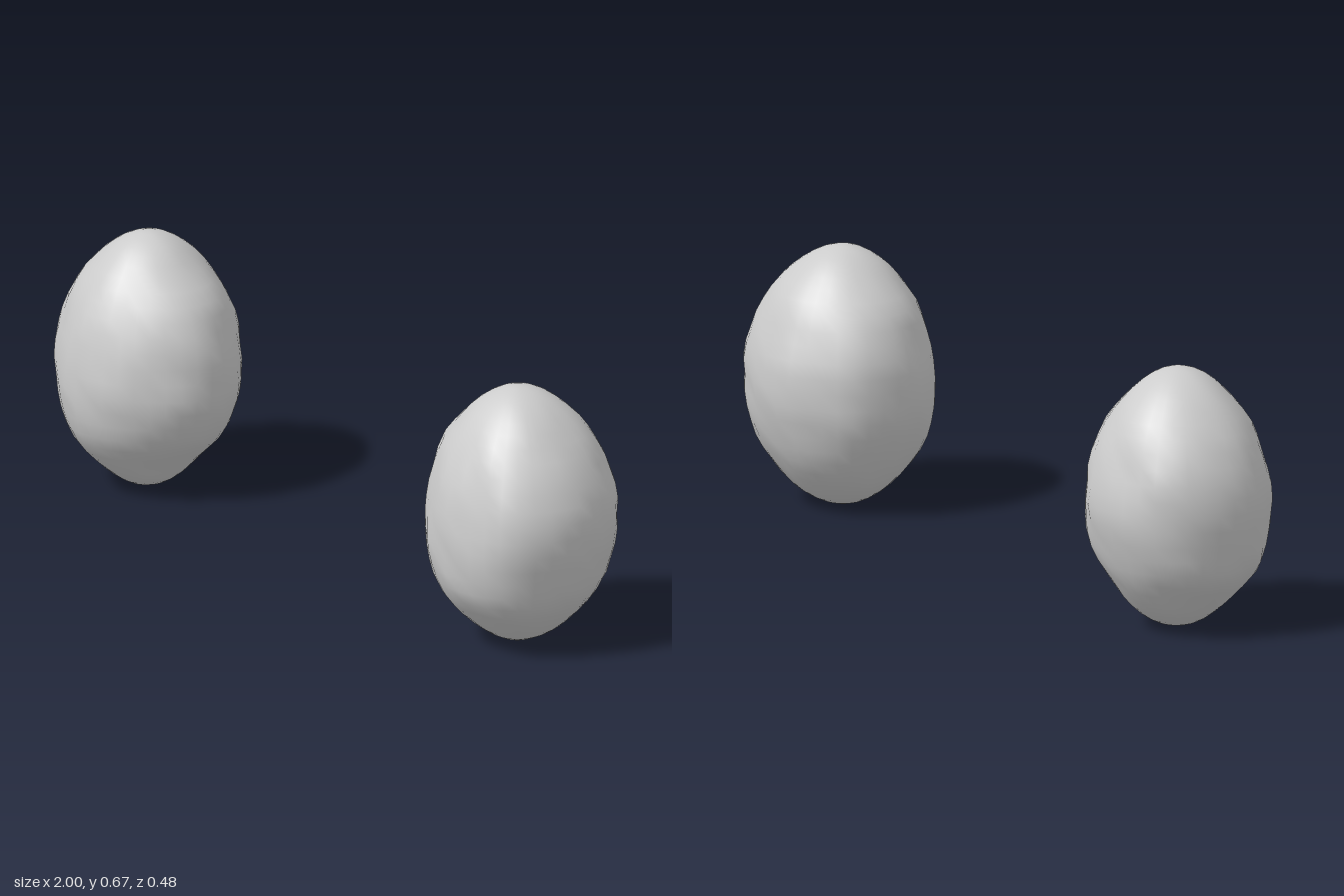
import * as THREE from 'three';
import { mergeVertices } from 'three/addons/utils/BufferGeometryUtils.js';

const HALF_HEIGHT = 0.3335;
const RADIUS_X = 0.255;
const RADIUS_Z = 0.237;
const lerp = THREE.MathUtils.lerp;

// Heights at which the bulge of each side is given
const LEVELS = [0, 0.07, 0.155, 0.27, 0.4, 0.52, 0.61, 0.667];
const FRONT = [0.9, 0.95, 1.05, 1.02, 0.96, 0.92, 0.87, 0.85];
const BACK = [0.9, 0.95, 1.0, 1.02, 1.02, 0.97, 0.94, 0.9];

// Each side is a width factor per level; corners are factors for the diagonal directions
const ROCKS = [
  {
    name: 'rightRock', x: -0.745, seed: 3,
    plusX: [0.7, 0.72, 0.95, 1.02, 1.0, 0.97, 0.8, 0.75],
    minusX: [0.75, 0.83, 1.0, 0.98, 1.01, 0.99, 0.91, 0.85],
    corners: { frontPlus: 0.95, frontMinus: 0.98, backPlus: 0.95, backMinus: 1.02 },
  },
  {
    name: 'leftRock', x: 0.74, seed: 11,
    plusX: [0.85, 0.9, 0.98, 1.0, 1.03, 0.98, 0.9, 0.85],
    minusX: [0.85, 0.88, 0.92, 0.98, 0.99, 0.95, 0.86, 0.8],
    corners: { frontPlus: 1.06, frontMinus: 0.99, backPlus: 1.03, backMinus: 1.0 },
  },
];

function widthAt(table, y) {
  let i = 0;
  while (i < LEVELS.length - 2 && y > LEVELS[i + 1]) i++;
  const t = THREE.MathUtils.clamp((y - LEVELS[i]) / (LEVELS[i + 1] - LEVELS[i]), 0, 1);
  return lerp(table[i], table[i + 1], t);
}

// Smooth seeded value noise in the range -1..1
function hash(x, y, z, seed) {
  const s = Math.sin(x * 127.1 + y * 311.7 + z * 74.7 + seed * 53.3) * 43758.5453;
  return (s - Math.floor(s)) * 2 - 1;
}

function noise(x, y, z, seed) {
  const ix = Math.floor(x), iy = Math.floor(y), iz = Math.floor(z);
  const ease = (t) => t * t * (3 - 2 * t);
  const fx = ease(x - ix), fy = ease(y - iy), fz = ease(z - iz);
  const row = (j, k) => lerp(hash(ix, iy + j, iz + k, seed), hash(ix + 1, iy + j, iz + k, seed), fx);
  return lerp(lerp(row(0, 0), row(1, 0), fy), lerp(row(0, 1), row(1, 1), fy), fz);
}

function createRock({ name, x: centreX, seed, plusX, minusX, corners }) {
  let geometry = new THREE.SphereGeometry(1, 36, 26);
  geometry.deleteAttribute('uv');
  geometry.deleteAttribute('normal');
  geometry = mergeVertices(geometry, 1e-4);

  const position = geometry.attributes.position;
  const p = new THREE.Vector3();
  for (let i = 0; i < position.count; i++) {
    p.fromBufferAttribute(position, i);
    const y = HALF_HEIGHT * (1 + p.y);
    const ring = Math.hypot(p.x, p.z) || 1;
    const cx = p.x / ring, cz = p.z / ring;

    // Blend the side profiles around the ring, then fill or trim the corners
    const side = widthAt(cx > 0 ? plusX : minusX, y);
    const face = widthAt(cz > 0 ? FRONT : BACK, y);
    const corner = corners[(cz > 0 ? 'front' : 'back') + (cx > 0 ? 'Plus' : 'Minus')];
    const diagonal = 4 * cx * cx * cz * cz;
    const width = lerp(face, side, cx * cx) * lerp(1, corner, diagonal);

    // Shallow dents and lumps, fading out at the two ends
    const lumps = 0.028 * noise(p.x * 2.6, p.y * 3.2, p.z * 2.6, seed)
      + 0.02 * noise(p.x * 5.5, p.y * 6.5, p.z * 5.5, seed + 1) - 0.006;
    const swell = 1 + lumps * Math.min(1, ring * 2);

    position.setXYZ(
      i,
      p.x * RADIUS_X * width * swell,
      y,
      p.z * RADIUS_Z * width * swell,
    );
  }
  geometry.computeVertexNormals();

  const rock = new THREE.Mesh(
    geometry,
    new THREE.MeshStandardMaterial({ color: 0xcccccc }),
  );
  rock.name = name;
  rock.position.x = centreX;
  return rock;
}

export function createModel() {
  const model = new THREE.Group();
  model.name = 'rockPair';
  for (const settings of ROCKS) model.add(createRock(settings));
  return model;
}
